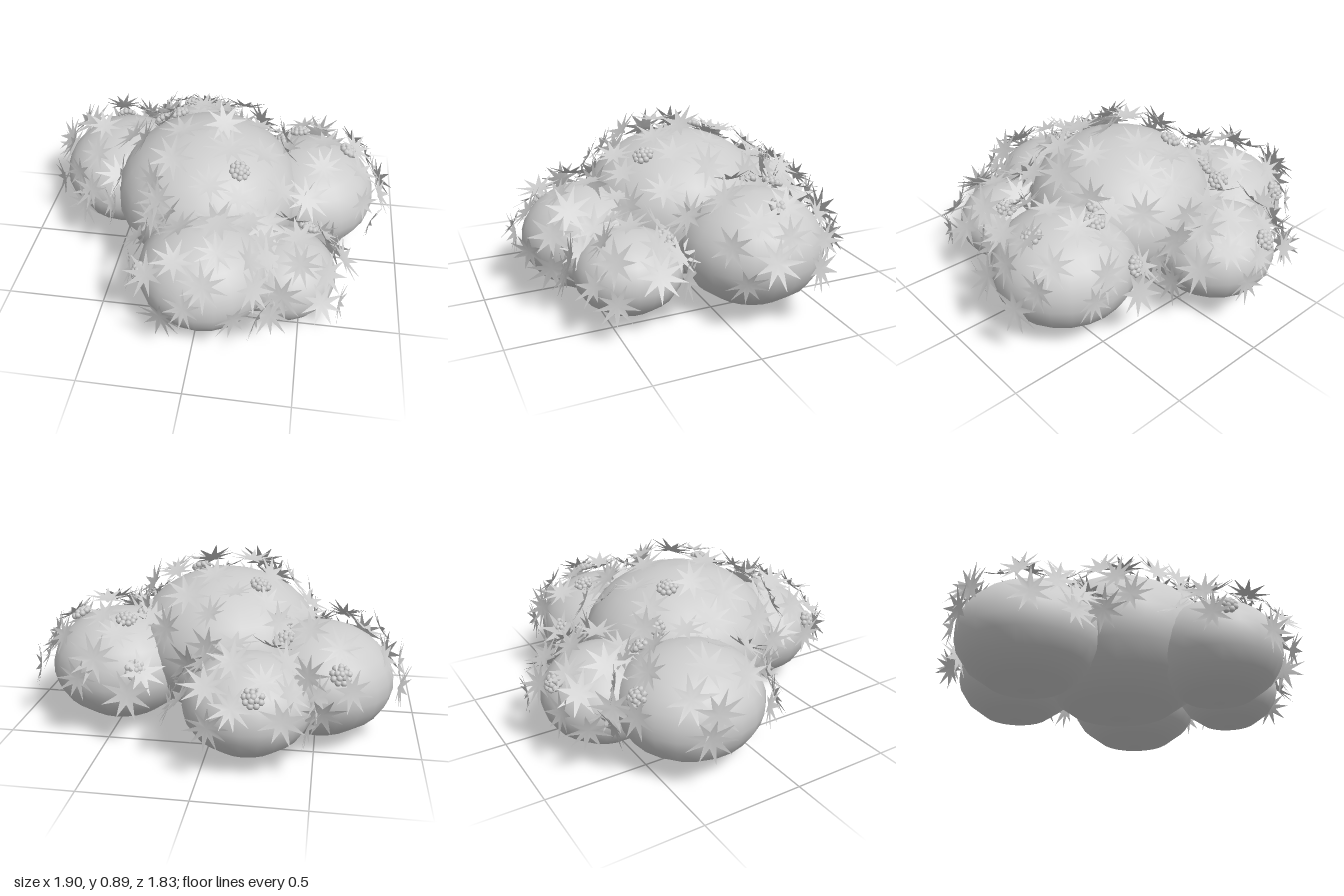
import * as THREE from 'three';

const moss = new THREE.MeshStandardMaterial({ color: 0xcccccc });
moss.name = 'mossGrey';
moss.side = THREE.DoubleSide;

// Mounds: name, centre, radii, number of scatter points
const MOUNDS = [
  ['mainMound', [-0.025, 0.375, -0.035], [0.48, 0.375, 0.485], 46],
  ['rightMound', [-0.51, 0.295, -0.27], [0.355, 0.27, 0.355], 30],
  ['leftMound', [0.49, 0.295, -0.21], [0.355, 0.275, 0.355], 30],
  ['frontMound', [0.025, 0.28, 0.47], [0.325, 0.26, 0.325], 30],
  ['backMound', [-0.19, 0.26, -0.55], [0.305, 0.235, 0.305], 28],
  ['frontLeftMound', [0.405, 0.23, 0.385], [0.26, 0.2, 0.26], 22],
].map(([name, c, r, count]) => ({
  name, count, c: new THREE.Vector3(...c), r: new THREE.Vector3(...r),
}));

// Cushion flower spots seen from above (x, z)
const FLOWERS = [
  [-0.6, -0.57], [-0.24, -0.8], [-0.35, -0.42], [-0.31, -0.33], [-0.2, -0.2], [0.35, -0.52],
  [0.43, -0.35], [0.35, -0.27], [0.68, -0.24], [0.15, 0.2], [0.5, 0.25], [-0.24, 0.62],
];

function seeded(seed) {
  return () => {
    seed = (seed * 16807) % 2147483647;
    return seed / 2147483647;
  };
}

// Rounded body with fine rings above and wide facets underneath
function moundGeometry() {
  const angles = [180, 148, 125, 108, 95, 82, 70, 58, 46, 34, 22, 11, 0];
  const pts = angles.map((a) => {
    const t = THREE.MathUtils.degToRad(a);
    return new THREE.Vector2(Math.sin(t), Math.cos(t));
  });
  pts[0].x = pts[pts.length - 1].x = 0;
  return new THREE.LatheGeometry(pts, 22);
}

// Nearly flat star of pointed leaves, facing +y, with smooth normals
function starGeometry(points, rand) {
  const pos = [0, 0, 0];
  const index = [];
  const n = points * 2;
  for (let i = 0; i < n; i++) {
    const a = (i / n) * Math.PI * 2;
    const tip = i % 2 === 0;
    const r = tip ? 0.105 + rand() * 0.02 : 0.042;
    const y = tip ? 0.012 + rand() * 0.012 : 0.004;
    pos.push(Math.cos(a) * r, y, Math.sin(a) * r);
    index.push(0, ((i + 1) % n) + 1, i + 1);
  }
  const g = new THREE.BufferGeometry();
  g.setAttribute('position', new THREE.Float32BufferAttribute(pos, 3));
  g.setIndex(index);
  g.computeVertexNormals();
  return g;
}

const UP = new THREE.Vector3(0, 1, 0);

// Is a point buried in a mound other than its own?
function buried(p, own) {
  return MOUNDS.some((m) => m !== own && p.clone().sub(m.c).divide(m.r).length() < 1);
}

function addStars(group, m, stars, rand) {
  for (let i = 0; i < m.count; i++) {
    // Even spiral over the upper part of the mound
    const y = 1 - ((i + 0.5) / m.count) * 1.1;
    const a = i * 2.39996 + rand() * 0.4;
    const s = Math.sqrt(1 - y * y);
    const u = new THREE.Vector3(Math.cos(a) * s, y, Math.sin(a) * s);
    const n = u.clone().divide(m.r).normalize();
    const p = u.multiply(m.r).add(m.c).addScaledVector(n, 0.035 + rand() * 0.025);
    if (buried(p, m)) continue;
    n.add(new THREE.Vector3(rand() - 0.5, rand() - 0.5, rand() - 0.5).multiplyScalar(0.8)).normalize();
    const star = new THREE.Mesh(stars[i % stars.length], moss);
    star.name = 'leafStar';
    star.position.copy(p);
    star.quaternion.setFromUnitVectors(UP, n);
    star.rotateY(rand() * 6.28);
    star.scale.setScalar(0.85 + rand() * 0.25);
    group.add(star);
  }
}

// Button of small rounded florets
function makeFlower(bead) {
  const flower = new THREE.Group();
  flower.name = 'cushionFlower';
  const add = (r, a, y) => {
    const b = new THREE.Mesh(bead, moss);
    b.name = 'floret';
    b.position.set(Math.cos(a) * r, y, Math.sin(a) * r);
    flower.add(b);
  };
  for (let i = 0; i < 9; i++) add(0.038, (i / 9) * Math.PI * 2, 0);
  for (let i = 0; i < 5; i++) add(0.019, (i / 5) * Math.PI * 2, 0.01);
  add(0, 0, 0.016);
  return flower;
}

// Highest mound surface above a spot, with its normal
function surfaceAt(x, z) {
  let best = null;
  for (const m of MOUNDS) {
    const dx = (x - m.c.x) / m.r.x;
    const dz = (z - m.c.z) / m.r.z;
    const h = Math.sqrt(Math.max(0, 1 - dx * dx - dz * dz));
    if (h === 0) continue;
    const p = new THREE.Vector3(x, m.c.y + h * m.r.y, z);
    const n = new THREE.Vector3(dx, h, dz).divide(m.r).normalize();
    if (!best || p.y > best.p.y) best = { p, n };
  }
  return best;
}

export function createModel() {
  const model = new THREE.Group();
  model.name = 'mossCushion';
  const rand = seeded(4711);
  const body = moundGeometry();
  const stars = [8, 9, 9, 10].map((n) => starGeometry(n, rand));

  // Mounds with their leaf stars
  for (const m of MOUNDS) {
    const mesh = new THREE.Mesh(body, moss);
    mesh.name = m.name;
    mesh.position.copy(m.c);
    mesh.scale.copy(m.r);
    model.add(mesh);
    const leaves = new THREE.Group();
    leaves.name = m.name + 'Leaves';
    addStars(leaves, m, stars, rand);
    model.add(leaves);
  }

  // Cushion flowers
  const bead = new THREE.SphereGeometry(0.016, 7, 5);
  for (const [x, z] of FLOWERS) {
    const spot = surfaceAt(x, z);
    const flower = makeFlower(bead);
    flower.position.copy(spot.p).addScaledVector(spot.n, 0.03);
    flower.quaternion.setFromUnitVectors(UP, spot.n);
    model.add(flower);
  }
  return model;
}
